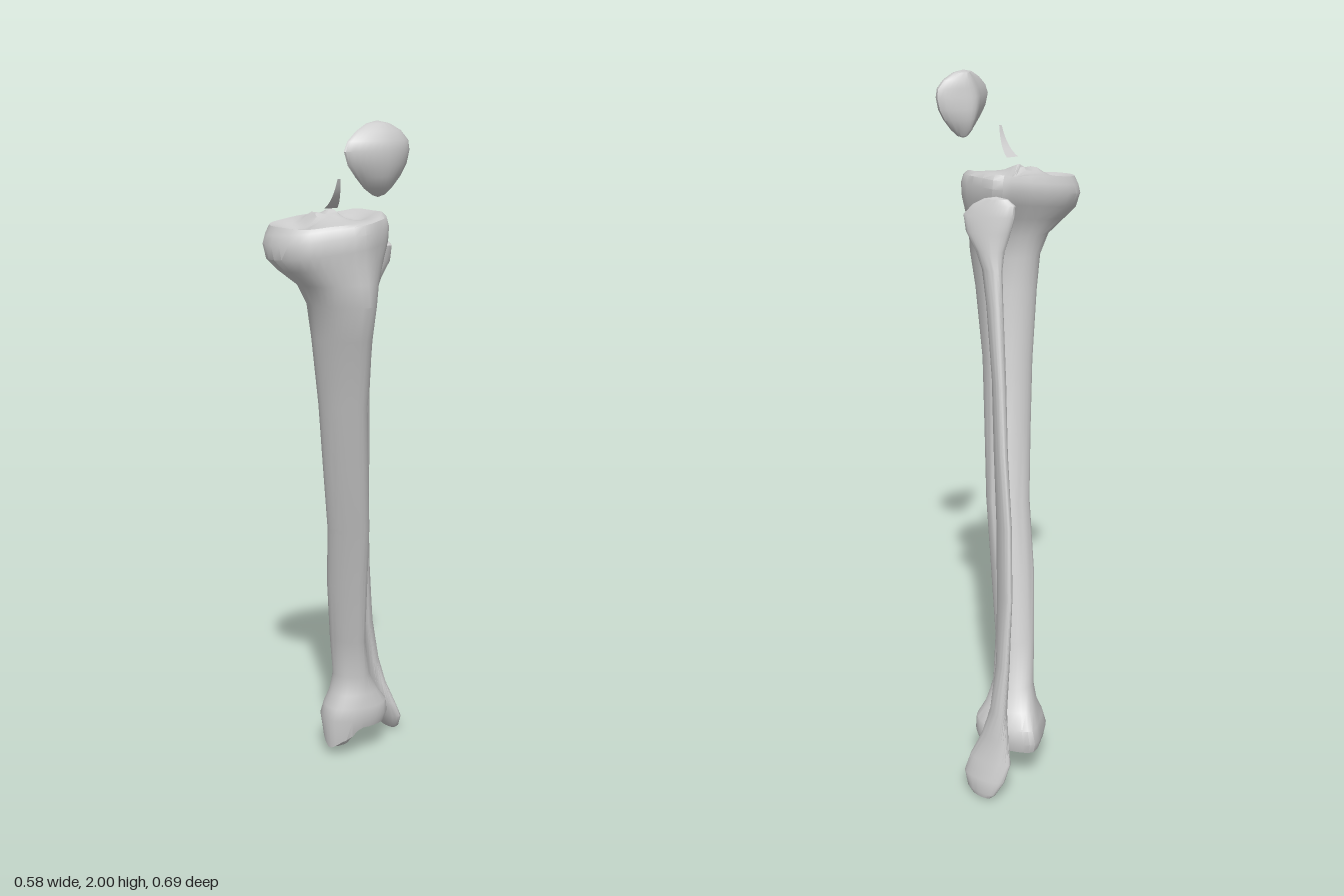
import * as THREE from 'three';
import { toCreasedNormals } from 'three/addons/utils/BufferGeometryUtils.js';

const SEG = 32;
const smooth = THREE.MathUtils.smoothstep;
const lerp = THREE.MathUtils.lerp;
const material = new THREE.MeshStandardMaterial({ color: 0xcccccc });

// Samples a closed unit outline given as [x, z] points, one every 30 degrees or so
function outline(points) {
  const curve = new THREE.CatmullRomCurve3(points.map(([x, z]) => new THREE.Vector3(x, 0, z)), true);
  return Array.from({ length: SEG }, (_, i) => {
    const p = curve.getPoint(i / SEG);
    return [p.x, p.z];
  });
}

// Places a unit outline in the box x0..x1, z0..z1 at height y, shrunk by scale
function ring(shape, [y, x0, x1, z0, z1], scale = 1) {
  return shape.map(([x, z]) => new THREE.Vector3(
    (x0 + x1) / 2 + x * scale * (x1 - x0) / 2, y, (z0 + z1) / 2 + z * scale * (z1 - z0) / 2));
}

// Skins rings that run from bottom to top
function loft(rings, name, crease = 0.6) {
  const index = [];
  for (let r = 0; r < rings.length - 1; r++) {
    for (let i = 0; i < SEG; i++) {
      const a = r * SEG + i, b = r * SEG + (i + 1) % SEG;
      index.push(a, a + SEG, b, b, a + SEG, b + SEG);
    }
  }
  const geo = new THREE.BufferGeometry().setFromPoints(rings.flat());
  geo.setIndex(index);
  const mesh = new THREE.Mesh(toCreasedNormals(geo, crease), material);
  mesh.name = name;
  return mesh;
}

function mix(a, b, t) {
  return a.map(([x, z], i) => [lerp(x, b[i][0], t), lerp(z, b[i][1], t)]);
}

// Shin bone: ankle, shaft and knee outlines blended along the length
function makeShinBone() {
  const ankle = outline([[1, 0.25], [0.9, 0.7], [0.5, 0.95], [0, 1], [-0.5, 0.9], [-0.9, 0.65],
    [-1, 0.25], [-0.9, -0.15], [-0.45, -0.6], [0.15, -1], [0.5, -0.75], [0.8, -0.25]]);
  const shaft = outline([[1, -0.1], [0.93, 0.4], [0.75, 0.8], [0.4, 1], [-0.2, 0.75], [-0.65, 0.4],
    [-0.92, 0], [-1, -0.4], [-0.75, -0.85], [-0.2, -1], [0.35, -0.85], [0.8, -0.5]]);
  const knee = outline([[1, 0], [0.97, 0.45], [0.68, 0.78], [0.32, 1], [-0.2, 0.86], [-0.62, 0.67],
    [-0.93, 0.2], [-1, -0.38], [-0.75, -0.85], [-0.23, -1], [0.45, -0.86], [0.88, -0.78]]);
  // y, x0, x1, z0, z1, blend (0 ankle, 1 shaft, 2 knee)
  const sections = [
    [0.13, -0.02, 0.195, -0.32, -0.105, 0],
    [0.17, -0.01, 0.19, -0.31, -0.105, 0],
    [0.21, 0.01, 0.16, -0.275, -0.115, 0.3],
    [0.27, 0.02, 0.13, -0.24, -0.12, 0.7],
    [0.4, 0, 0.1, -0.205, -0.095, 1],
    [0.6, -0.03, 0.085, -0.165, -0.05, 1],
    [0.8, -0.055, 0.065, -0.11, 0, 1],
    [1.0, -0.09, 0.035, -0.07, 0.05, 1],
    [1.2, -0.12, 0.01, -0.04, 0.095, 1],
    [1.4, -0.155, 0, -0.02, 0.15, 1],
    [1.5, -0.175, 0, -0.015, 0.185, 1.2],
    [1.56, -0.205, 0.01, -0.02, 0.185, 1.5],
    [1.61, -0.255, 0.03, -0.04, 0.18, 1.8],
    [1.65, -0.283, 0.045, -0.065, 0.182, 2],
    [1.69, -0.288, 0.05, -0.08, 0.183, 2],
    [1.715, -0.28, 0.046, -0.076, 0.172, 2],
  ];
  const rings = sections.map((s) => ring(
    s[5] < 1 ? mix(ankle, shaft, s[5]) : mix(shaft, knee, s[5] - 1), s));
  // Knee end leans up towards the outer side
  rings.flat().forEach((p) => {
    p.y += 0.13 * (p.x + 0.12) * smooth(p.y, 1.5, 1.66);
  });
  // Ankle joint face with the inner ankle knob hanging below it
  const under = [0, 0.2, 0.4, 0.6, 0.78, 0.92].map((k) => ring(ankle, sections[0], k));
  under.flat().forEach((p) => {
    const knob = (1 - smooth(p.x, 0.04, 0.085)) * Math.exp(-(((p.z + 0.165) / 0.05) ** 2));
    p.y = 0.1 - 0.07 * knob;
  });
  // Knee joint face: two shallow dishes and a ridge between them
  const bump = (p, x, z, w, d) => Math.exp(-(((p.x - x) / w) ** 2) - ((p.z - z) / d) ** 2);
  const top = [0.93, 0.8, 0.65, 0.5, 0.35, 0.18, 0].map((k) => ring(knee, sections.at(-1), k));
  top.flat().forEach((p) => {
    p.y = 1.738 + 0.1 * (p.x + 0.12) - 0.2 * Math.max(0, p.z - 0.08)
      - 0.03 * bump(p, -0.2, 0.04, 0.055, 0.07) - 0.028 * bump(p, -0.03, 0.04, 0.05, 0.07)
      + 0.025 * (bump(p, -0.145, 0.02, 0.022, 0.04) + bump(p, -0.095, 0.03, 0.022, 0.04));
  });
  return loft([...under, ...rings, ...top], 'shinBone');
}

// Calf bone: slender tilted ellipses, the last value sets the tilt
function makeCalfBone() {
  const sections = [
    [0.005, 0.255, 0.28, -0.31, -0.245, 0.5],
    [0.02, 0.245, 0.285, -0.325, -0.225, 0.5],
    [0.06, 0.22, 0.284, -0.338, -0.206, 0.6],
    [0.11, 0.2, 0.265, -0.34, -0.21, 0.6],
    [0.18, 0.192, 0.243, -0.325, -0.23, 0.2],
    [0.26, 0.18, 0.228, -0.312, -0.24, -0.3],
    [0.4, 0.16, 0.205, -0.305, -0.23, -0.6],
    [0.6, 0.135, 0.18, -0.29, -0.195, -0.7],
    [0.8, 0.11, 0.157, -0.255, -0.16, -0.7],
    [1.0, 0.09, 0.14, -0.21, -0.125, -0.7],
    [1.2, 0.07, 0.12, -0.17, -0.095, -0.6],
    [1.4, 0.058, 0.104, -0.13, -0.06, -0.3],
    [1.5, 0.054, 0.098, -0.11, -0.042, 0.1],
    [1.55, 0.046, 0.106, -0.104, -0.03, 0.5],
    [1.6, 0.034, 0.115, -0.112, 0, 0.8],
    [1.645, 0.025, 0.113, -0.118, 0.013, 0.9],
    [1.675, 0.022, 0.095, -0.115, -0.01, 0.9],
    [1.692, 0.035, 0.078, -0.098, -0.04, 0.9],
  ];
  const rings = sections.map((s) => ring(Array.from({ length: SEG }, (_, i) => {
    const t = i / SEG * Math.PI * 2;
    return [Math.cos(t), Math.sin(t + s[5])];
  }), s));
  const ellipse = (s) => Array.from({ length: SEG }, (_, i) => {
    const t = i / SEG * Math.PI * 2;
    return [Math.cos(t), Math.sin(t + s[5])];
  });
  const first = sections[0], last = sections.at(-1);
  rings.unshift(ring(ellipse(first), [0, ...first.slice(1)], 0));
  rings.push(ring(ellipse(last), [1.698, ...last.slice(1)], 0));
  return loft(rings, 'calfBone');
}

// Kneecap: rounded pebble, pointed below, with a ridge on its back
function makeKneecap() {
  const shape = outline([[1, -0.2], [0.85, 0.35], [0.5, 0.8], [0.1, 1], [-0.45, 0.9], [-0.85, 0.65],
    [-1, 0.45], [-0.8, 0.1], [-0.45, -0.45], [-0.05, -1], [0.35, -0.85], [0.75, -0.55]]);
  const sections = [
    [1.812, -0.105, -0.065, 0.262, 0.298],
    [1.83, -0.135, -0.045, 0.25, 0.318],
    [1.86, -0.165, -0.02, 0.241, 0.333],
    [1.89, -0.19, -0.004, 0.24, 0.342],
    [1.925, -0.203, 0.002, 0.244, 0.346],
    [1.95, -0.192, -0.002, 0.25, 0.34],
    [1.975, -0.162, -0.022, 0.255, 0.325],
    [1.993, -0.128, -0.055, 0.265, 0.308],
  ];
  const last = sections.at(-1);
  return loft([
    ring(shape, [1.806, ...sections[0].slice(1)], 0),
    ...sections.map((s) => ring(shape, s)),
    ring(shape, [2, ...last.slice(1)], 0),
  ], 'kneecap');
}

// Thin curved sliver of ligament, open on both faces
function makeLigament() {
  const path = new THREE.QuadraticBezierCurve3(new THREE.Vector3(-0.135, 1.766, 0.108),
    new THREE.Vector3(-0.143, 1.785, 0.16), new THREE.Vector3(-0.146, 1.848, 0.18));
  const geo = new THREE.PlaneGeometry(1, 1, 1, 8);
  const pos = geo.attributes.position;
  for (let i = 0; i < pos.count; i++) {
    const t = pos.getY(i) + 0.5, p = path.getPoint(t);
    pos.setXYZ(i, p.x + pos.getX(i) * lerp(0.04, 0.009, t), p.y, p.z);
  }
  geo.computeVertexNormals();
  const mesh = new THREE.Mesh(geo, new THREE.MeshStandardMaterial({ color: 0xcccccc, side: THREE.DoubleSide }));
  mesh.name = 'ligament';
  return mesh;
}

export function createModel() {
  const group = new THREE.Group();
  group.name = 'lowerLegBones';
  group.add(makeShinBone(), makeCalfBone(), makeKneecap(), makeLigament());
  return group;
}
